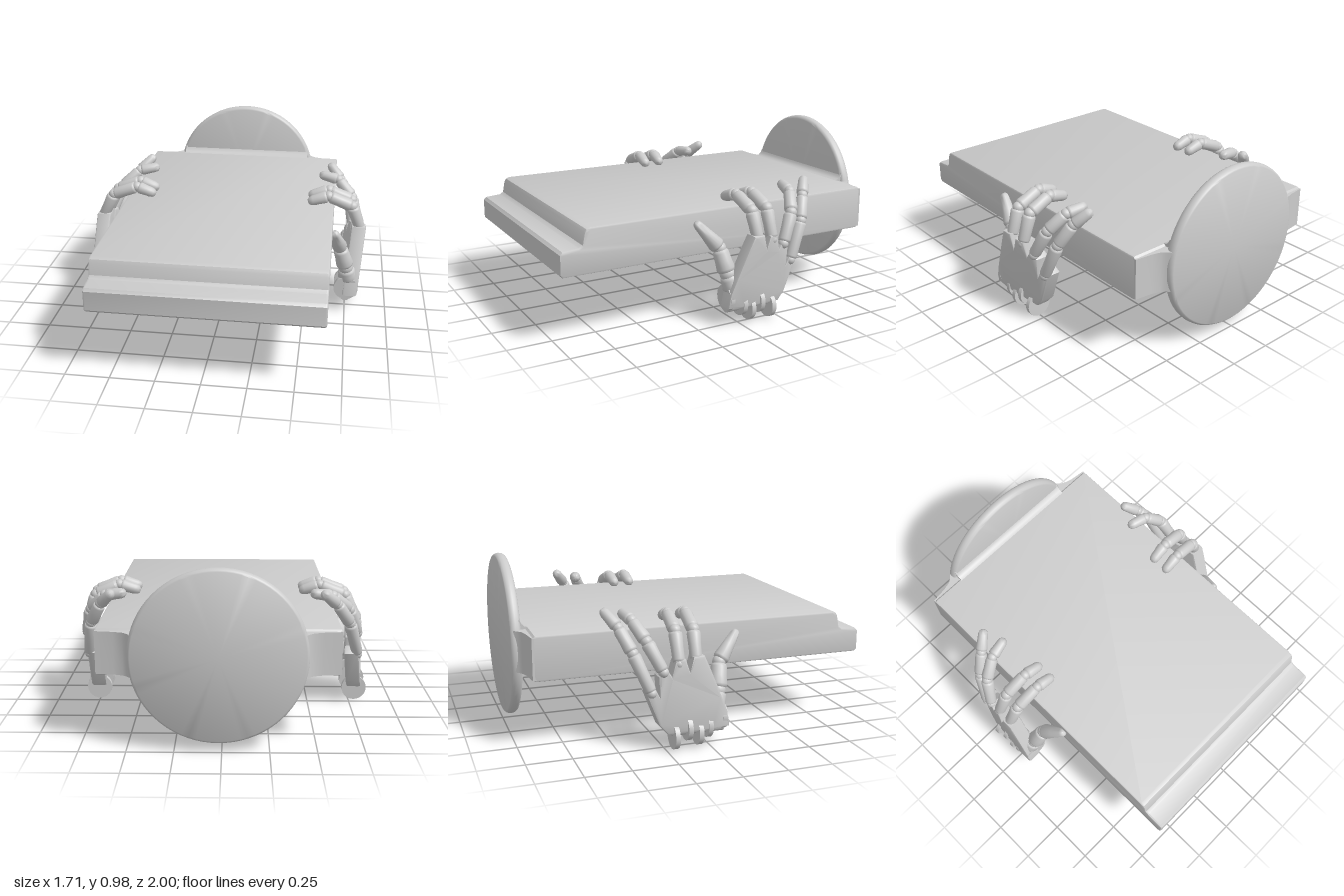
import * as THREE from 'three';
import { toCreasedNormals } from 'three/addons/utils/BufferGeometryUtils.js';

const MAT = new THREE.MeshStandardMaterial({ color: 0xcccccc, side: THREE.DoubleSide });
const CX = 0.018; // middle of the slab and disc

function add(parent, name, geometry) {
  const mesh = new THREE.Mesh(geometry, MAT);
  mesh.name = name;
  parent.add(mesh);
  return mesh;
}

// Extrudes a [z, y] outline along x, centred on x = 0
function sideExtrude(points, width, bevel) {
  const shape = new THREE.Shape(points.map(([z, y]) => new THREE.Vector2(-z, y)));
  const g = new THREE.ExtrudeGeometry(shape, {
    depth: width - 2 * bevel, bevelEnabled: bevel > 0, bevelThickness: bevel,
    bevelSize: bevel, bevelOffset: -bevel, bevelSegments: 2,
  });
  g.translate(0, 0, -width / 2 + bevel);
  return g.rotateY(Math.PI / 2);
}

// Rounded, tapered finger bone between two points
function bone(parent, name, a, b, r0, r1, tip) {
  const len = a.distanceTo(b);
  const e0 = r0 * 0.45, e1 = tip ? r1 * 1.1 : r1 * 0.45;
  const profile = [[0, 0], [r0 * 0.65, 0], [r0 * 0.93, e0 * 0.4], [r0, e0]];
  profile.push([(r0 + r1) / 2 * 0.96, len / 2], [r1, len - e1]);
  if (tip) profile.push([r1 * 0.85, len - e1 * 0.45], [r1 * 0.5, len - e1 * 0.12], [0, len]);
  else profile.push([r1 * 0.93, len - e1 * 0.4], [r1 * 0.65, len], [0, len]);
  const g = new THREE.LatheGeometry(profile.map(p => new THREE.Vector2(...p)), 16);
  const mesh = add(parent, name, toCreasedNormals(g, 0.8));
  mesh.position.copy(a);
  mesh.quaternion.setFromUnitVectors(new THREE.Vector3(0, 1, 0), b.clone().sub(a).normalize());
}

// Joint positions [x, y, z] from knuckle to tip, and bone radii
const FINGERS = {
  indexFinger: { r: [0.034, 0.038, 0.036, 0.031], p: [[0.82, 0.49, -0.08], [0.765, 0.645, -0.07], [0.62, 0.705, -0.062], [0.495, 0.665, -0.055]] },
  middleFinger: { r: [0.034, 0.038, 0.036, 0.031], p: [[0.815, 0.48, -0.175], [0.76, 0.645, -0.172], [0.62, 0.705, -0.165], [0.495, 0.665, -0.155]] },
  ringFinger: { r: [0.034, 0.038, 0.035, 0.03], p: [[0.805, 0.44, -0.26], [0.765, 0.6, -0.335], [0.675, 0.695, -0.385], [0.55, 0.715, -0.41]] },
  littleFinger: { r: [0.033, 0.037, 0.035, 0.029], p: [[0.785, 0.33, -0.325], [0.755, 0.54, -0.41], [0.69, 0.665, -0.465], [0.61, 0.75, -0.53]] },
  thumb: { r: [0.058, 0.052, 0.045, 0.026], p: [[0.765, 0.2, 0.03], [0.745, 0.3, 0.065], [0.705, 0.44, 0.095], [0.665, 0.595, 0.225]] },
};

// Palm outline [z, y], with slots between the knuckles
const PALM = [
  [0.1, 0.12], [0.09, 0.2], [0.055, 0.29], [-0.005, 0.44], [-0.04, 0.52], [-0.105, 0.52],
  [-0.125, 0.44], [-0.145, 0.51], [-0.2, 0.5], [-0.22, 0.42], [-0.245, 0.46], [-0.29, 0.42],
  [-0.285, 0.31], [-0.32, 0.38], [-0.36, 0.34], [-0.29, 0.15], [-0.245, 0.1], [0.0, 0.11],
];

function makeHand(name, side) {
  const hand = new THREE.Group();
  hand.name = name;
  // The right hand leans a little further inward than the left
  const place = (x, y, z) => new THREE.Vector3(side * (x + (side < 0 ? 0.042 - 0.14 * y : 0)), y, z);

  // Palm plate, leaning outward and curling in towards the little finger
  const palm = sideExtrude(PALM, 0.088, 0.012);
  const pos = palm.attributes.position;
  for (let i = 0; i < pos.count; i++) {
    const y = pos.getY(i), z = pos.getZ(i);
    const x = 0.775 + 0.09 * (y - 0.12) - 0.2 * Math.max(0, -z - 0.12);
    pos.setX(i, pos.getX(i) + place(x, y, z).x);
  }
  palm.computeVertexNormals();
  add(hand, 'palm', toCreasedNormals(palm, 0.6));

  // Fingers: three bones with small ball joints
  for (const [label, { r, p }] of Object.entries(FINGERS)) {
    const finger = new THREE.Group();
    finger.name = label;
    hand.add(finger);
    const pts = p.map(q => place(...q));
    for (let i = 0; i < 3; i++) {
      const gap = pts[i + 1].clone().sub(pts[i]).setLength(0.008);
      const end = i < 2 ? pts[i + 1].clone().sub(gap) : pts[3];
      bone(finger, ['lowerBone', 'middleBone', 'fingertip'][i], pts[i].clone().add(gap), end, r[i], r[i + 1], i === 2);
      add(finger, 'joint', new THREE.SphereGeometry(r[i] * 0.85, 14, 10)).position.copy(pts[i]);
    }
  }

  // Wrist hinge: upright discs with tabs into the palm, on a pin
  for (const [z, y] of [[0.075, 0.165], [-0.01, 0.125], [-0.065, 0.09], [-0.125, 0.12], [-0.2, 0.08]]) {
    const disc = new THREE.CylinderGeometry(0.073, 0.073, 0.026, 28).rotateX(Math.PI / 2);
    add(hand, 'wristDisc', toCreasedNormals(disc, 0.6)).position.copy(place(0.752, y, z));
  }
  const pin = new THREE.CylinderGeometry(0.032, 0.032, 0.3, 16).rotateX(Math.PI / 2);
  add(hand, 'wristPin', toCreasedNormals(pin, 0.6)).position.copy(place(0.75, 0.11, -0.07));
  return hand;
}

export function createModel() {
  const model = new THREE.Group();
  model.name = 'slabWithHands';

  // Slab with a step down at the front
  const slab = sideExtrude([
    [0.985, 0.4], [1, 0.415], [1, 0.525], [0.985, 0.54], [0.895, 0.547], [0.875, 0.56],
    [0.862, 0.625], [0.852, 0.642], [0.83, 0.65], [-0.905, 0.65], [-0.92, 0.635], [-0.92, 0.415], [-0.905, 0.4],
  ], 1.275, 0.012);
  add(model, 'slab', toCreasedNormals(slab, 0.6)).position.x = CX;

  // Round end plate with a rounded rim
  const rim = [[0, -0.03], [0.45, -0.03]];
  for (let i = 1; i <= 6; i++) {
    const a = -Math.PI / 2 + i * Math.PI / 6;
    rim.push([0.447 + 0.02 * Math.cos(a), 0.03 * Math.sin(a)]);
  }
  rim.push([0, 0.03]);
  const plate = new THREE.LatheGeometry(rim.map(p => new THREE.Vector2(...p)), 72).rotateX(Math.PI / 2);
  add(model, 'endPlate', toCreasedNormals(plate, 0.7)).position.set(CX, 0.518, -0.97);

  // Flared neck joining slab and plate at the sides
  const half = [[0.637, -0.9], [0.637, -0.922], [0.54, -0.934], [0.49, -0.948], [0.468, -0.965], [0.45, -0.985]];
  const outline = [...half, ...half.map(([x, z]) => [-x, z]).reverse()];
  const neck = new THREE.ExtrudeGeometry(
    new THREE.Shape(outline.map(([x, z]) => new THREE.Vector2(x, -z))),
    { depth: 0.23, bevelEnabled: false }).rotateX(-Math.PI / 2);
  add(model, 'neck', toCreasedNormals(neck, 0.6)).position.set(CX, 0.41, 0);

  // Fillets above and below the neck
  const fillet = sideExtrude([
    [-0.89, 0.648], [-0.92, 0.655], [-0.936, 0.67], [-0.945, 0.69], [-0.96, 0.69],
    [-0.96, 0.36], [-0.945, 0.36], [-0.936, 0.38], [-0.92, 0.395], [-0.89, 0.402],
  ], 0.86, 0);
  add(model, 'neckFillet', toCreasedNormals(fillet, 0.6)).position.x = CX;

  model.add(makeHand('leftHand', 1), makeHand('rightHand', -1));
  return model;
}
